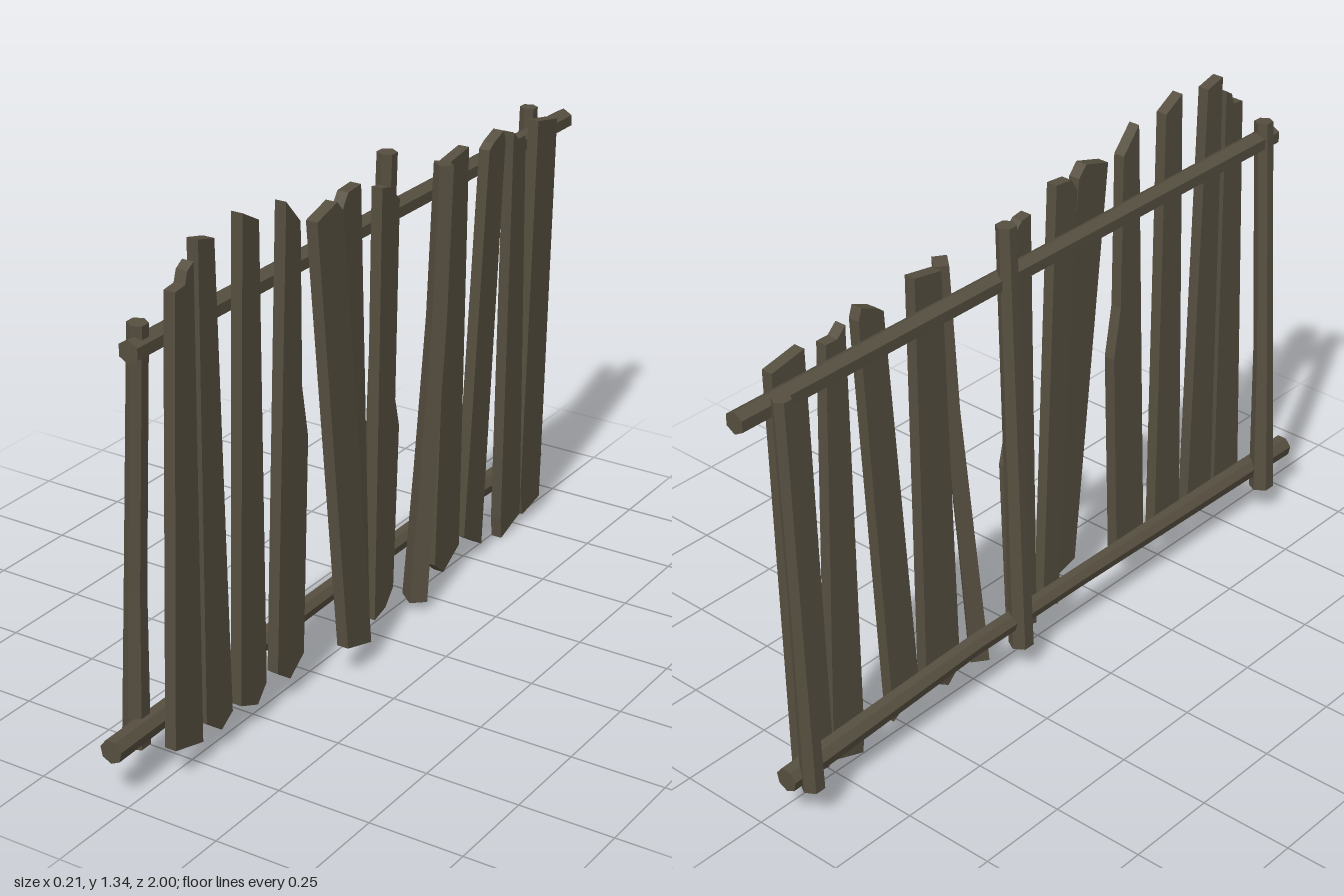
import * as THREE from 'three';

const wood = new THREE.MeshStandardMaterial({ color: 0x564f40, flatShading: true });
wood.name = 'weathered wood';

// Rough log or stick: sections follow the points [x, y, z, radius] from bottom to top
function log(name, points, sides, yaw = 0, flat = 1) {
  const n = points.length - 1;
  const geo = new THREE.CylinderGeometry(1, 1, 1, sides, n);
  const at = (i) => new THREE.Vector3(...points[i].slice(0, 3));
  const turn = new THREE.Quaternion().setFromUnitVectors(
    new THREE.Vector3(0, 1, 0), at(n).sub(at(0)).normalize());
  const pos = geo.attributes.position;
  const v = new THREE.Vector3();
  const up = new THREE.Vector3(0, 1, 0);
  for (let i = 0; i < pos.count; i++) {
    const k = Math.round((pos.getY(i) + 0.5) * n);
    const r = points[k][3];
    v.set(pos.getX(i) * r, 0, pos.getZ(i) * r);
    // four-sided sticks are squared to the axes, flattened, then turned
    if (sides === 4) v.applyAxisAngle(up, Math.PI / 4);
    v.x *= flat;
    v.applyAxisAngle(up, yaw).applyQuaternion(turn).add(at(k));
    pos.setXYZ(i, v.x, v.y, v.z);
  }
  geo.computeVertexNormals();
  const mesh = new THREE.Mesh(geo, wood);
  mesh.name = name;
  return mesh;
}

// Split board: outline of [z, y] points, thickness along x, leaning from xBottom to xTop
function board(name, outline, xBottom = 0.002, xTop = 0.026, thick = 0.031) {
  const shape = new THREE.Shape(outline.map(([z, y]) => new THREE.Vector2(-z, y)));
  const geo = new THREE.ExtrudeGeometry(shape, { depth: thick, bevelEnabled: false });
  geo.rotateY(Math.PI / 2);
  const pos = geo.attributes.position;
  for (let i = 0; i < pos.count; i++) {
    pos.setX(i, pos.getX(i) + THREE.MathUtils.lerp(xBottom, xTop, pos.getY(i) / 1.25));
  }
  geo.computeVertexNormals();
  const mesh = new THREE.Mesh(geo, wood);
  mesh.name = name;
  return mesh;
}

export function createModel() {
  const fence = new THREE.Group();
  fence.name = 'fence';

  // Rails
  fence.add(
    log('upperRail', [[-0.003, 1.115, -1, 0.029], [-0.003, 1.115, 0, 0.028], [-0.003, 1.115, 0.93, 0.029]], 6),
    log('lowerRail', [[-0.043, 0.12, -0.95, 0.032], [-0.043, 0.15, -0.3, 0.027],
      [-0.043, 0.148, 0.1, 0.026], [-0.043, 0.135, 1, 0.031]], 7),
  );

  // Posts
  fence.add(
    log('frontPost', [[-0.075, 0.08, 0.865, 0.034], [-0.052, 0.5, 0.875, 0.027], [-0.008, 1.17, 0.887, 0.025]], 6),
    log('middlePost', [[-0.058, 0.075, -0.13, 0.033], [-0.045, 0.5, -0.132, 0.029], [-0.018, 1.265, -0.133, 0.026]], 6),
    log('rearPost', [[-0.08, 0.09, -0.9, 0.03], [-0.076, 0.6, -0.91, 0.024], [-0.062, 1.162, -0.913, 0.024]], 6),
  );

  // Boards, from front to rear
  const outlines = [
    [[0.858, 0.09], [0.75, 0.06], [0.767, 1.285], [0.79, 1.27], [0.799, 1.24], [0.836, 1.235]],
    [[0.735, 0.1], [0.675, 0.055], [0.63, 0.085], [0.69, 1.315], [0.75, 1.33]],
    [[0.595, 0.08], [0.525, 0.05], [0.488, 0.095], [0.52, 1.305], [0.584, 1.34]],
    [[0.44, 0.095], [0.386, 0.055], [0.327, 0.1], [0.316, 0.69], [0.343, 0.83], [0.354, 1.25], [0.413, 1.315]],
    [[0.086, 0.055], [0.027, 0.085], [0.1, 1.265], [0.155, 1.26], [0.177, 1.225]],
    [[0, 0.04], [-0.05, 0.055], [-0.086, 0.1], [-0.096, 0.56], [-0.075, 0.64], [-0.075, 1.175], [-0.027, 1.22], [0.005, 1.225]],
    [[-0.295, 0.07], [-0.34, 0.03], [-0.418, 0.08], [-0.4, 1.215], [-0.31, 1.2]],
    [[-0.445, 0.09], [-0.54, 0.03], [-0.585, 1.18], [-0.574, 1.21], [-0.525, 1.19], [-0.504, 1.175]],
    [[-0.643, 0.06], [-0.65, 0], [-0.75, 0.035], [-0.69, 1.165], [-0.654, 1.165], [-0.627, 1.19]],
    [[-0.75, 0.1], [-0.767, 0.025], [-0.858, 0.045], [-0.858, 1.165], [-0.756, 1.185]],
  ];
  outlines.forEach((outline, i) => fence.add(board(`board${i + 1}`, outline)));

  // Loose board standing proud of the row
  fence.add(board('looseBoard',
    [[0.236, 0.09], [0.13, 0.06], [0.21, 1.235], [0.236, 1.265], [0.32, 1.24]], 0.076, 0.048, 0.032));

  // Crooked, twisted board
  fence.add(log('crookedBoard',
    [[0.04, 0.025, -0.185, 0.046], [0.048, 0.38, -0.215, 0.04], [0.053, 0.8, -0.257, 0.037], [0.053, 1.205, -0.284, 0.035]],
    4, 0.85, 0.75));

  return fence;
}
